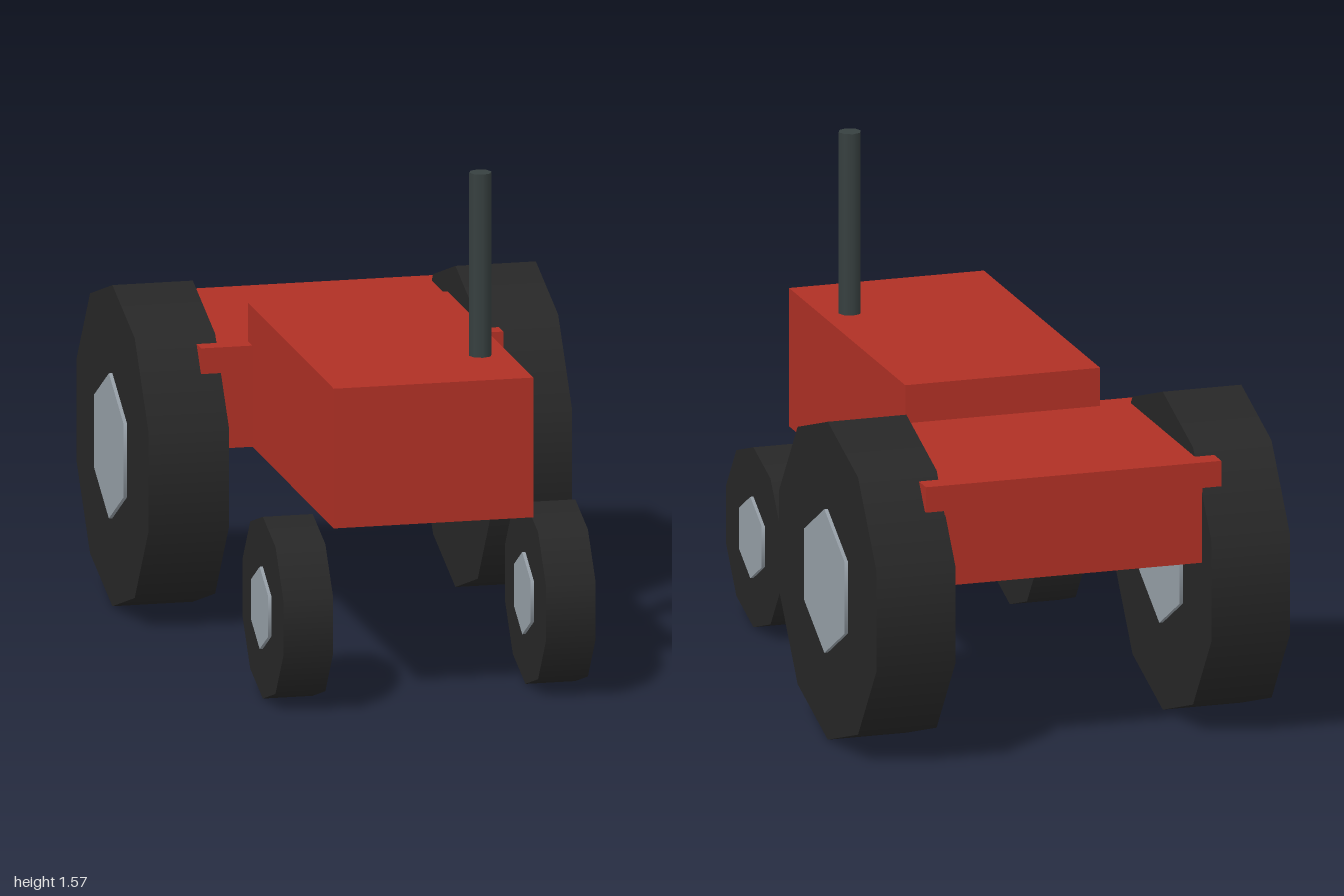
import * as THREE from 'three';

export function createModel() {
  const paint = (name, color) => {
    const m = new THREE.MeshStandardMaterial({ color });
    m.name = name;
    return m;
  };
  const red = paint('red paint', 0xb03025);
  const rubber = paint('black rubber', 0x272727);
  const steel = paint('grey steel', 0x98a1a9);
  const pipe = paint('dark pipe', 0x374040);

  const tractor = new THREE.Group();
  tractor.name = 'tractor';

  const add = (parent, name, geometry, material, x, y, z) => {
    const mesh = new THREE.Mesh(geometry, material);
    mesh.name = name;
    mesh.position.set(x, y, z);
    parent.add(mesh);
    return mesh;
  };

  // Box given by its full width and its y and z ranges
  const box = (name, width, y0, y1, z0, z1) =>
    add(tractor, name, new THREE.BoxGeometry(width, y1 - y0, z1 - z0), red,
      0, (y0 + y1) / 2, (z0 + z1) / 2);

  // Bodywork
  box('hood', 0.62, 0.565, 1.0, -0.21, 0.92);
  box('rearBody', 0.82, 0.565, 0.84, -0.9, -0.15);
  box('fenderDeck', 0.94, 0.8, 0.88, -0.9, -0.15);

  // Exhaust stack
  add(tractor, 'exhaustPipe', new THREE.CylinderGeometry(0.035, 0.035, 0.6, 8), pipe, 0.22, 1.27, 0.605);

  // Disc lying across the x axis, with one corner pointing straight up
  const disc = (radius, width, sides) =>
    new THREE.CylinderGeometry(radius, radius, width, sides).rotateZ(Math.PI / 2).rotateX(Math.PI / 2);

  // Wheels: ten-sided tyre with a hexagonal hub showing on both faces
  const wheels = [
    { name: 'Front', x: 0.408, z: 0.73, r: 0.283, width: 0.155, hub: 0.128, hubWidth: 0.175 },
    { name: 'Rear', x: 0.533, z: -0.52, r: 0.5, width: 0.25, hub: 0.226, hubWidth: 0.272 },
  ];
  for (const w of wheels) {
    for (const side of [1, -1]) {
      const wheel = new THREE.Group();
      wheel.name = (side > 0 ? 'left' : 'right') + w.name + 'Wheel';
      wheel.position.set(side * w.x, w.r, w.z);
      add(wheel, 'tyre', disc(w.r, w.width, 10), rubber, 0, 0, 0);
      add(wheel, 'hub', disc(w.hub, w.hubWidth, 6), steel, 0, 0, 0);
      tractor.add(wheel);
    }
  }

  return tractor;
}
